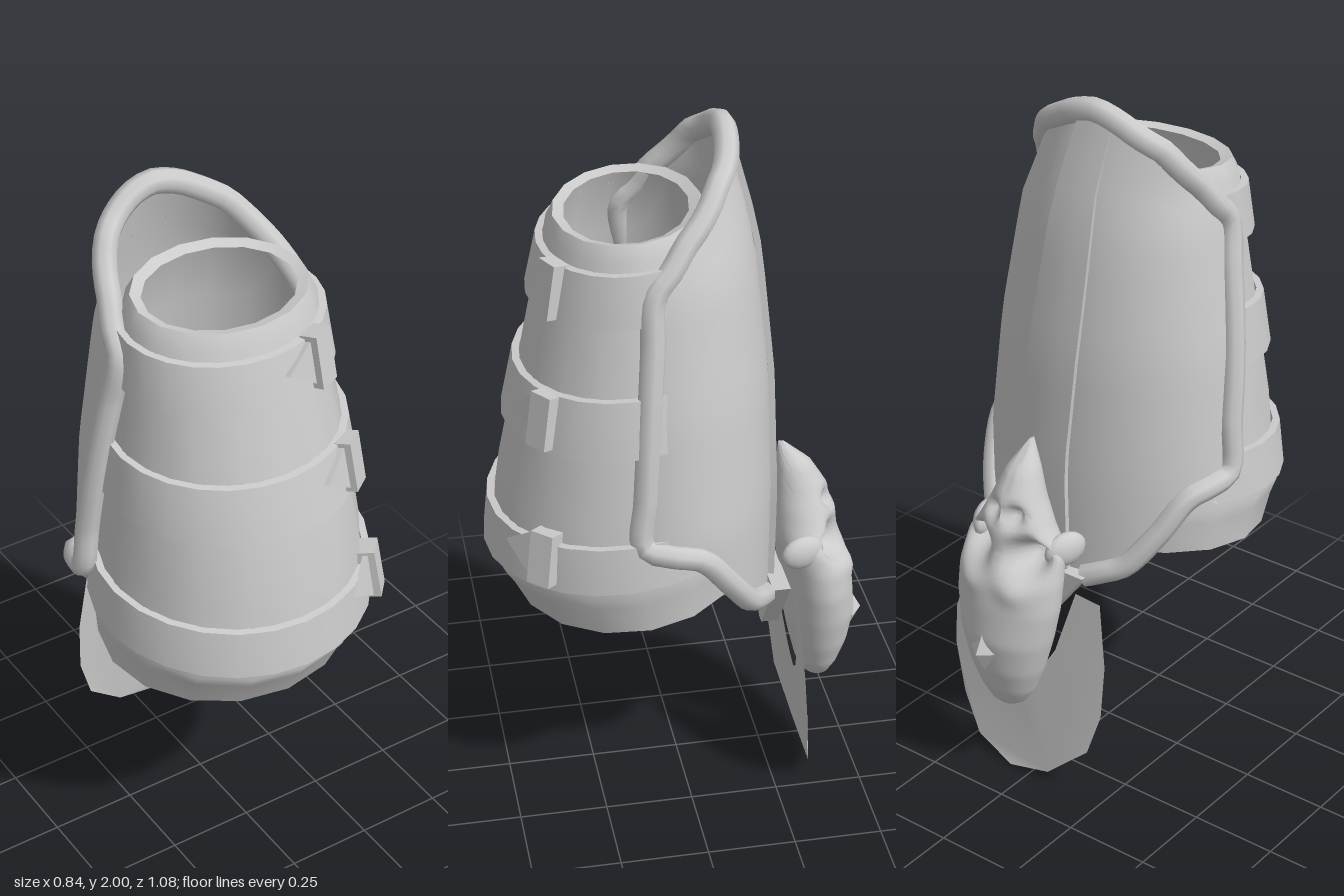
import * as THREE from 'three';
import { mergeVertices, toCreasedNormals } from 'three/addons/utils/BufferGeometryUtils.js';
import { ParametricGeometry } from 'three/addons/geometries/ParametricGeometry.js';

const mat = new THREE.MeshStandardMaterial({ color: 0xcccccc, side: THREE.DoubleSide });

// Piecewise-linear lookup: rows start with the key, the rest is interpolated
function lookup(rows, k) {
  let i = 0;
  while (i < rows.length - 2 && k > rows[i + 1][0]) i++;
  const a = rows[i], b = rows[i + 1];
  const t = THREE.MathUtils.clamp((k - a[0]) / (b[0] - a[0]), 0, 1);
  return a.slice(1).map((v, j) => v + (b[j + 1] - v) * t);
}

// Welded surface over a grid; fn(i, j) gives the point at column i, row j
function surface(fn, cols, rows, crease = 0.7) {
  let g = new ParametricGeometry((u, v, p) => p.copy(fn(Math.round(u * cols), Math.round(v * rows))), cols, rows);
  g.deleteAttribute('uv');
  g.deleteAttribute('normal');
  g = mergeVertices(g, 1e-4);
  g.computeVertexNormals();
  return toCreasedNormals(g, crease);
}

const shape = points => new THREE.Shape(points.map(p => new THREE.Vector2(...p)));

function add(parent, name, geometry) {
  const m = new THREE.Mesh(geometry, mat);
  m.name = name;
  parent.add(m);
  return m;
}

// Sleeve cross-sections: y, centre x, centre z, radius x, radius z
const SLEEVE = [
  [0.68, -0.01, 0.135, 0.365, 0.325], [0.77, -0.01, 0.15, 0.375, 0.355],
  [0.81, -0.01, 0.16, 0.385, 0.37], [0.86, -0.005, 0.16, 0.377, 0.36],
  [1.03, -0.005, 0.155, 0.365, 0.35], [1.32, -0.01, 0.145, 0.33, 0.295],
  [1.57, -0.02, 0.135, 0.29, 0.25], [1.74, -0.025, 0.13, 0.268, 0.215],
  [1.78, -0.025, 0.13, 0.245, 0.195],
];
function sleevePoint(t, y, out = 0) {
  const [cx, cz, rx, rz] = lookup(SLEEVE, y);
  const z = cz + (rz + out) * Math.cos(t);
  return new THREE.Vector3(cx + (rx + out) * Math.sin(t), y - 0.1 * (z - 0.135), z);
}

// Back plate cross-sections and outline (u runs from -1 to 1 around the back)
const PLATE = [
  [0.45, -0.01, 0.05, 0.395, 0.305], [0.95, -0.005, 0.05, 0.39, 0.31],
  [1.3, -0.015, 0.05, 0.355, 0.298], [1.65, -0.025, 0.05, 0.295, 0.262],
  [1.78, -0.035, 0.05, 0.25, 0.235], [2, -0.07, 0.05, 0.22, 0.175],
];
const TOP = [[0, 1.966], [0.15, 1.955], [0.5, 1.88], [0.8, 1.765], [1, 1.65]];
const BOTTOM = [[0, 0.6], [0.2, 0.64], [0.4, 0.7], [0.72, 0.91], [1, 0.955]];
function platePoint(u, y, out = 0) {
  const [cx, cz, rx, rz] = lookup(PLATE, y);
  // toward the bottom the plate turns, and its right edge falls back
  const turn = THREE.MathUtils.clamp((1.65 - y) / 0.65, 0, 1);
  const a = 1.78 * u + turn * (0.13 + 0.17 * Math.min(0, u) ** 2);
  return new THREE.Vector3(cx + (rx + out) * Math.sin(a), y, cz - (rz + out) * Math.cos(a));
}
function plateAt(u, v, out) {
  const lo = lookup(BOTTOM, Math.abs(u))[0], hi = lookup(TOP, Math.abs(u))[0];
  return platePoint(u, lo + (hi - lo) * v, out);
}

function buildSleeve(group) {
  const ys = SLEEVE.map(r => r[0]);
  const n = 16;
  add(group, 'sleeve', surface((i, j) => {
    const t = (i % n) / n * Math.PI * 2;
    // the last row turns inward as a lip
    return j < ys.length ? sleevePoint(t, ys[j]) : sleevePoint(t, 1.77, -0.035);
  }, n, ys.length, 1));
}

function buildStrap(group, y, h, buckleX, buckleY) {
  const strap = new THREE.Group();
  strap.name = 'strap';
  const profile = [[-h, 0], [-h, 0.02], [h, 0.02], [h, 0]];
  add(strap, 'strapBand', surface((i, j) =>
    sleevePoint(-2 + i / 16 * 4, y + profile[j][0], profile[j][1]), 16, 3));
  // lay a flat piece on the band at a given x
  const place = (mesh, x, out) => {
    const [cx, , rx, rz] = lookup(SLEEVE, y);
    const t = Math.asin((x - cx) / (rx + out));
    mesh.position.copy(sleevePoint(t, y, out)).setY(buckleY);
    mesh.rotation.set(-0.18, Math.atan2(Math.sin(t) / rx, Math.cos(t) / rz), 0, 'YXZ');
  };
  place(add(strap, 'buckle', new THREE.BoxGeometry(0.07, 0.15, 0.05)), buckleX, 0.022);
  const arrow = shape([[-0.06, 0], [0.04, -0.065], [0.04, 0.065]]);
  place(add(strap, 'strapTip', new THREE.ExtrudeGeometry(arrow, { depth: 0.016, bevelEnabled: false })), buckleX - 0.065, 0.012);
  group.add(strap);
}

function buildPlate(group) {
  add(group, 'backPlate', surface((i, j) => plateAt(i / 20 - 1, j / 16, 0), 40, 16, 1));

  // raised band down the middle of the back
  const band = [[-0.15, 0], [-0.15, 1], [-0.07, 1], [0.02, 1], [0.1, 1], [0.1, 0]];
  add(group, 'plateBand', surface((i, j) =>
    plateAt(band[i][0], 0.02 + j / 14 * 0.97, band[i][1] * 0.018), 5, 14));

  // thick pointed tab below the band
  const tab = shape([[-0.13, 0.66], [0.025, 0.455], [0.055, 0.455], [0.2, 0.66]]);
  add(group, 'lowerTab', new THREE.ExtrudeGeometry(tab, { depth: 0.05, bevelEnabled: false }))
    .position.z = -0.29;

  // rolled rim, from beside the lower tab up and over to the other side
  const path = [];
  const bottoms = [0.22, 0.3, 0.4, 0.56, 0.72, 0.86];
  for (const u of bottoms) path.push(plateAt(-u, 0));
  for (let k = 0; k < 5; k++) path.push(plateAt(-1, k / 5));
  for (let k = -10; k <= 10; k++) path.push(plateAt(k / 10, 1));
  for (let k = 4; k >= 0; k--) path.push(plateAt(1, k / 5));
  for (const u of bottoms.reverse()) path.push(plateAt(u, 0));
  add(group, 'plateRim', new THREE.TubeGeometry(new THREE.CatmullRomCurve3(path), 120, 0.034, 8));
}

function buildSkull(group) {
  const skull = new THREE.Group();
  skull.name = 'skull';
  skull.position.x = 0.04;
  // y, half width, front z, back z
  const rows = [
    [0.25, 0.002, -0.405, -0.41], [0.27, 0.05, -0.37, -0.445], [0.32, 0.085, -0.345, -0.47],
    [0.4, 0.118, -0.325, -0.495], [0.5, 0.145, -0.305, -0.51], [0.6, 0.163, -0.295, -0.5],
    [0.68, 0.165, -0.285, -0.485], [0.76, 0.158, -0.265, -0.46], [0.82, 0.115, -0.265, -0.45],
    [0.9, 0.075, -0.27, -0.425], [0.98, 0.045, -0.275, -0.375], [1.05, 0.003, -0.28, -0.295],
  ];
  // x, y, depth, radius: eye sockets and nostrils; negative is a brow or cheek bump
  const dents = [[0.085, 0.76, 0.11, 0.046], [0.035, 0.87, 0.045, 0.024],
    [0.075, 0.675, -0.015, 0.04], [0.12, 0.81, -0.025, 0.03]];
  const n = 40, m = 56;
  add(skull, 'cranium', surface((i, j) => {
    const y = 0.25 + 0.8 * j / m, t = (i % n) / n * Math.PI * 2;
    const [w, f, b] = lookup(rows, y);
    const x = w * Math.sin(t);
    let z = (f + b) / 2 + (f - b) / 2 * Math.cos(t);
    if (Math.cos(t) < 0) {
      for (const [dx, dy, depth, r] of dents) {
        const d2 = (Math.abs(x) - dx) ** 2 + (y - dy) ** 2;
        z += depth * Math.exp(-d2 / (r * r)) * Math.min(1, -2 * Math.cos(t));
      }
    }
    return new THREE.Vector3(x, y, z);
  }, n, m, 1.2));
  for (const s of [-1, 1]) {
    const cheek = add(skull, 'cheekbone', new THREE.SphereGeometry(1, 14, 10));
    cheek.scale.set(0.03, 0.05, 0.065);
    cheek.position.set(s * 0.14, 0.765, -0.325);
    cheek.rotation.y = s * 0.3;
  }
  const gem = add(skull, 'gem', toCreasedNormals(new THREE.OctahedronGeometry(1), 0.1));
  gem.scale.set(0.045, 0.065, 0.035);
  gem.position.set(0.01, 0.47, -0.5);
  group.add(skull);
}

function buildCollar(group) {
  const g = new THREE.ShapeGeometry(shape([
    [-0.12, 0.62], [-0.2, 0.61], [-0.225, 0.42], [-0.22, 0.26], [-0.18, 0.13], [-0.06, 0.025],
    [0.07, 0], [0.2, 0.045], [0.27, 0.15], [0.31, 0.3], [0.31, 0.42], [0.24, 0.63], [0.18, 0.64],
    [0.15, 0.42], [0.1, 0.32], [0.05, 0.28], [0, 0.32], [-0.06, 0.42],
  ]));
  const p = g.attributes.position;
  // lean the top and sides forward and fold the lower edge backward
  for (let i = 0; i < p.count; i++) {
    const x = p.getX(i), y = p.getY(i);
    p.setZ(i, -0.34 + 0.07 * (y - 0.3) + 0.07 * Math.abs(x - 0.04) - 0.12 * Math.max(0, 0.13 - y));
  }
  g.computeVertexNormals();
  add(group, 'collar', g);
}

export function createModel() {
  const group = new THREE.Group();
  group.name = 'armGuard';
  buildSleeve(group);
  // strap height, half width, buckle x, buckle y
  buildStrap(group, 1.645, 0.07, 0.13, 1.63);
  buildStrap(group, 1.305, 0.08, 0.215, 1.29);
  buildStrap(group, 0.905, 0.068, 0.29, 0.91);
  buildPlate(group);
  buildSkull(group);
  buildCollar(group);
  return group;
}
